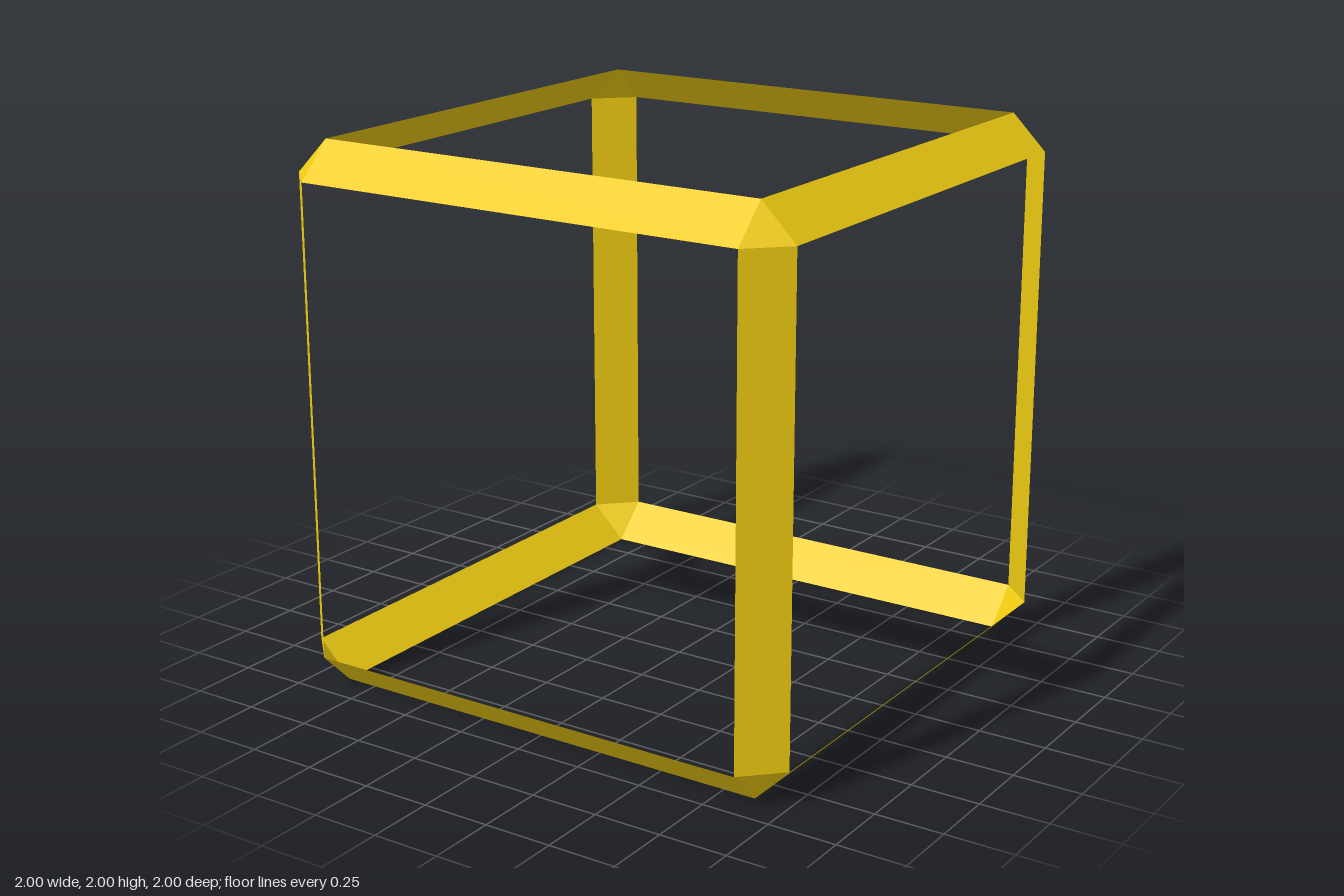
import * as THREE from 'three';

const HALF = 1;       // half the cube's side
const INNER = 0.87;   // where the bevelled edges start

export function createModel() {
  const model = new THREE.Group();
  model.name = 'bevelledCubeFrame';
  const gold = new THREE.MeshStandardMaterial({ color: 0xf0cc12, side: THREE.DoubleSide, flatShading: true });
  const signs = [-1, 1];

  const add = (geometry, name) => {
    const mesh = new THREE.Mesh(geometry, gold);
    mesh.name = name;
    return mesh;
  };

  // Twelve flat strips, one along each bevelled edge, facing outward
  const strip = new THREE.PlaneGeometry((HALF - INNER) * Math.SQRT2, INNER * 2);
  const mid = (HALF + INNER) / 2;
  ['x', 'y', 'z'].forEach((axis, i, axes) => {
    for (const a of signs) for (const b of signs) {
      const mesh = add(strip, `${axis}EdgeStrip`);
      mesh.position[axes[(i + 1) % 3]] = a * mid;
      mesh.position[axes[(i + 2) % 3]] = b * mid;
      mesh.up.set(0, 0, 0)[axis] = 1;
      mesh.lookAt(mesh.position.clone().multiplyScalar(2));
      model.add(mesh);
    }
  });

  // Eight triangles closing the cut corners
  for (const x of signs) for (const y of signs) for (const z of signs) {
    const points = [[HALF, INNER, INNER], [INNER, HALF, INNER], [INNER, INNER, HALF]]
      .map(p => new THREE.Vector3(p[0] * x, p[1] * y, p[2] * z));
    if (x * y * z < 0) points.reverse();
    const geometry = new THREE.BufferGeometry().setFromPoints(points);
    geometry.computeVertexNormals();
    model.add(add(geometry, 'cornerTriangle'));
  }

  // Stand the frame on the ground
  for (const part of model.children) part.position.y += HALF;
  return model;
}
